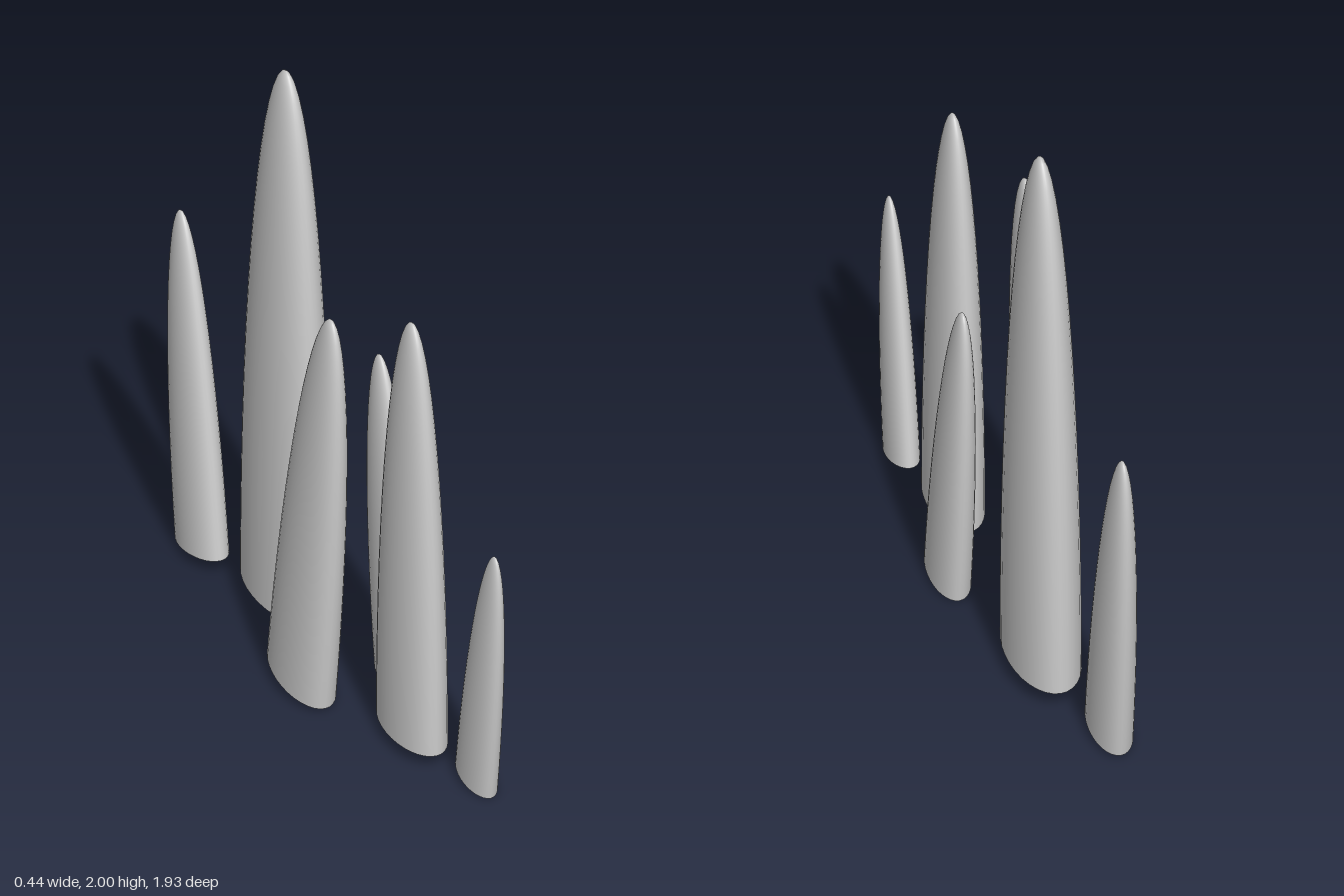
import * as THREE from 'three';

// name, base centre [x, y, z], radii [x, height, z], lean toward +z and +x in degrees
const SPIRES = [
  ['tallSpire', [-0.004, 0.07, -0.358], [0.116, 1.93, 0.237], 0, 0],
  ['frontSpire', [0.047, 0.05, 0.489], [0.09, 1.505, 0.187], 0, 0],
  ['rightSpire', [-0.138, 0.037, 0.06], [0.087, 1.43, 0.182], 7.1, 0.9],
  ['leftSpire', [0.153, 0.022, 0.167], [0.067, 1.12, 0.139], -7.3, -0.5],
  ['backSpire', [-0.12, 0.035, -0.74], [0.069, 1.16, 0.142], -8.1, 0],
  ['smallFrontSpire', [0.132, 0.022, 0.79], [0.053, 0.912, 0.112], 9, 0],
];

export function createModel() {
  const model = new THREE.Group();
  model.name = 'spireCluster';
  const material = new THREE.MeshStandardMaterial({ color: 0xcccccc });

  // Unit half-ellipsoid shell and its flat underside, shared by every spire
  const dome = new THREE.SphereGeometry(1, 32, 16, 0, Math.PI * 2, 0, Math.PI / 2);
  const disc = new THREE.CircleGeometry(1, 32).rotateX(Math.PI / 2);

  for (const [name, base, radii, leanZ, leanX] of SPIRES) {
    const spire = new THREE.Group();
    spire.name = name;
    const shell = new THREE.Mesh(dome, material);
    shell.name = 'shell';
    const underside = new THREE.Mesh(disc, material);
    underside.name = 'underside';
    spire.add(shell, underside);
    spire.scale.set(...radii);
    spire.rotation.set(THREE.MathUtils.degToRad(leanZ), 0, THREE.MathUtils.degToRad(-leanX));
    spire.position.set(...base);
    model.add(spire);
  }
  return model;
}
